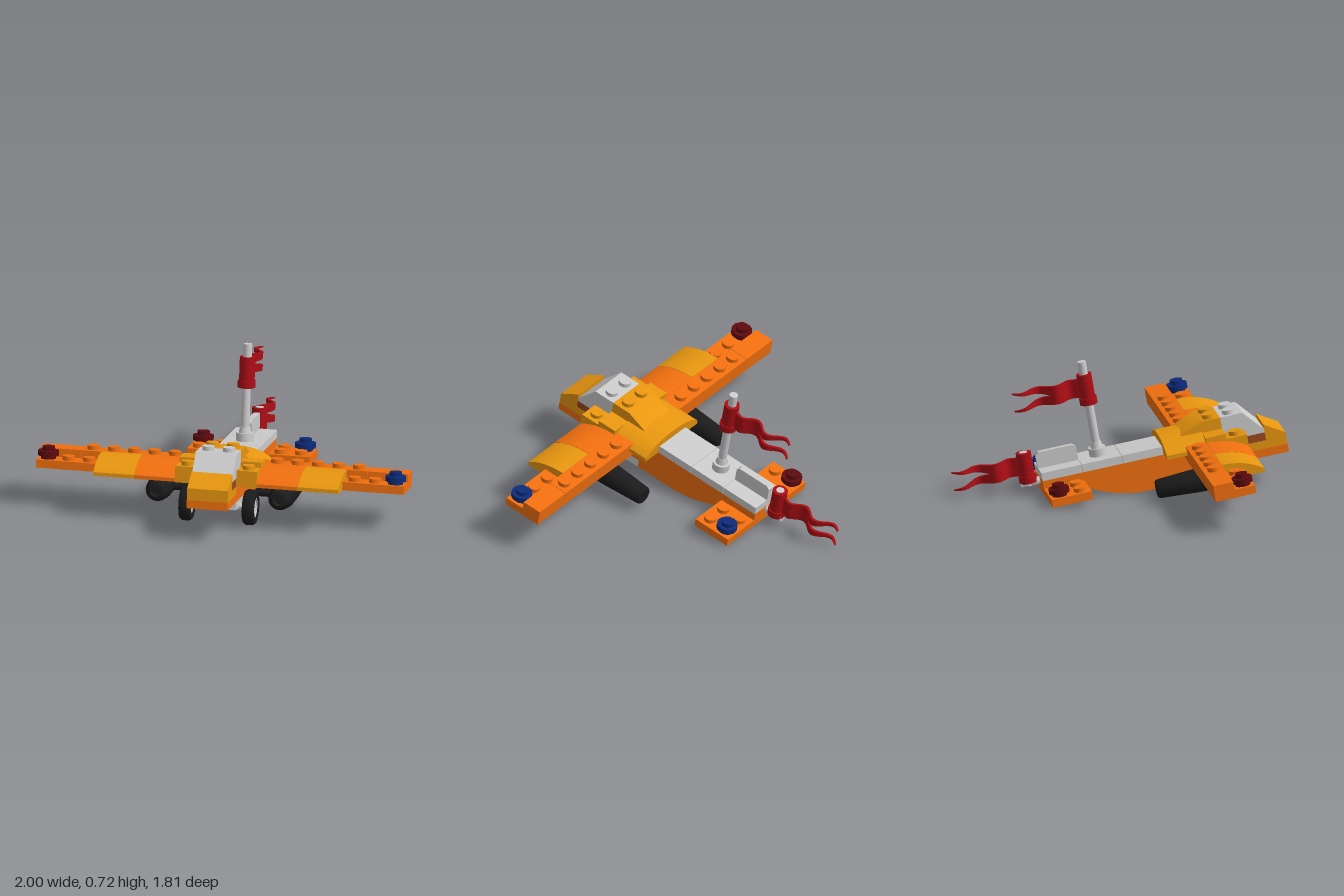
import * as THREE from 'three';
import { toCreasedNormals } from 'three/addons/utils/BufferGeometryUtils.js';

const mat = (color) => new THREE.MeshStandardMaterial({ color, side: THREE.DoubleSide });
const M = {
  orange: mat(0xf2700f), yellow: mat(0xe8960f), red: mat(0xaa0d14), darkRed: mat(0x5c0a0e),
  blue: mat(0x0d2a78), black: mat(0x1b1b1b), brown: mat(0x9a4a1e), grey: mat(0xcccccc),
};

// All sizes below are in stud pitches; a plate is 0.4 high.
export function createModel() {
  const model = new THREE.Group();
  const plane = new THREE.Group();
  plane.name = 'plane';
  plane.scale.setScalar(1 / 9);
  plane.rotation.x = -0.172;
  plane.position.set(0, 0.04, 0.03);
  model.add(plane);

  const add = (name, geo, m, x = 0, y = 0, z = 0) => {
    const mesh = new THREE.Mesh(geo, m);
    mesh.name = name;
    mesh.position.set(x, y, z);
    plane.add(mesh);
    return mesh;
  };
  // Box from its limits
  const box = (name, m, x0, x1, y0, y1, z0, z1) =>
    add(name, new THREE.BoxGeometry(x1 - x0, y1 - y0, z1 - z0), m, (x0 + x1) / 2, (y0 + y1) / 2, (z0 + z1) / 2);
  // Upright cylinder standing on y
  const post = (name, m, r, h, x, y, z, r2 = r) =>
    add(name, new THREE.CylinderGeometry(r2, r, h, 24), m, x, y + h / 2, z);
  const stud = (m, x, y, z) => post('stud', m, 0.3, 0.2, x, y, z);
  // Side profile (z, y) extruded across x
  const across = (name, m, shape, x0, x1) => {
    const geo = new THREE.ExtrudeGeometry(shape, { depth: x1 - x0, bevelEnabled: false, curveSegments: 16 });
    geo.rotateY(-Math.PI / 2);
    return add(name, toCreasedNormals(geo, 0.5), m, x1, 0, 0);
  };
  const poly = (pts) => new THREE.Shape(pts.map((p) => new THREE.Vector2(...p)));
  // Plate hollow from below, with tubes
  const hollowPlate = (name, m, x0, x1, y, z0, z1) => {
    const w = 0.15;
    box(name, m, x0, x1, y + 0.27, y + 0.4, z0, z1);
    box(name + 'Rim', m, x0, x1, y, y + 0.27, z0, z0 + w);
    box(name + 'Rim', m, x0, x1, y, y + 0.27, z1 - w, z1);
    box(name + 'Rim', m, x0, x0 + w, y, y + 0.27, z0 + w, z1 - w);
    box(name + 'Rim', m, x1 - w, x1, y, y + 0.27, z0 + w, z1 - w);
    const ring = [[0.3, 0.27], [0.3, 0], [0.41, 0], [0.41, 0.27]].map((p) => new THREE.Vector2(...p));
    for (let x = x0 + 1; x < x1; x++)
      add('tube', toCreasedNormals(new THREE.LatheGeometry(ring, 20), 0.6), m, x, y, (z0 + z1) / 2);
  };
  // Round one-stud lamp
  const lamp = (m, x, y, z) => {
    post('lampFoot', m, 0.36, 0.15, x, y, z);
    post('lamp', m, 0.5, 0.25, x, y + 0.15, z);
    stud(m, x, y + 0.4, z);
  };

  // Nose
  box('noseFloor', M.orange, -1, 1, 0, 0.4, 6, 8);
  box('noseBlock', M.yellow, -1, 1, 0.4, 0.8, 6, 8);
  across('noseSlope', M.yellow, poly([[7, 0.8], [8, 0.8], [8, 0.98], [7, 1.6]]), -1, 1);
  box('cockpitSill', M.brown, -0.99, 0.99, 0.8, 1.2, 5, 7);

  // Cockpit
  across('windscreen', M.grey, poly([[5, 1.2], [7, 1.2], [7, 1.36], [6.1, 2.4], [5, 2.4]]), -1, 1);
  across('cockpitBack', M.yellow, poly([[3, 1.2], [5, 1.2], [5, 2.4], [4, 2.4], [3, 1.95]]), -1, 1);
  for (const s of [-0.5, 0.5]) {
    stud(M.grey, s, 2.4, 5.5);
    stud(M.yellow, s, 2.4, 4.5);
  }

  // Arched cover over the wing root
  const arch = poly([[2, 1.2], [2, 1.4]]);
  arch.quadraticCurveTo(1.4, 2, 0, 2);
  arch.quadraticCurveTo(-1.4, 2, -2, 1.4);
  arch.lineTo(-2, 1.2);
  const archGeo = new THREE.ExtrudeGeometry(arch, { depth: 2, bevelEnabled: false, curveSegments: 12 });
  add('archCover', toCreasedNormals(archGeo, 0.5), M.yellow, 0, 0, 2);

  // Middle fuselage and undercarriage beam
  box('middleBody', M.orange, -1, 1, 0, 1.2, 3, 6);
  box('undercarriagePlate', M.grey, -1, 1, -0.4, 0, 3, 5.8);

  // Curved rear belly
  const belly = poly([[3, 1.2], [3, -0.4], [1, -0.4]]);
  belly.bezierCurveTo(-0.4, -0.4, -1.8, 0.2, -2.8, 0.95);
  belly.lineTo(-2.8, 1.2);
  across('belly', M.orange, belly, -1, 1);

  // Rear deck tiles
  for (const [a, b] of [[2, 3], [0, 2], [-2, 0], [-4, -2]])
    box('deckTile', M.grey, -1, 1, 1.2, 1.6, a + 0.01, b - 0.01);
  box('tailBlock', M.orange, -0.98, 0.98, 0.8, 1.2, -4, -2);
  const fin = poly([[-4, 1.6], [-2, 1.6], [-2, 2.25], [-2.15, 2.4], [-3.85, 2.4], [-4, 2.25]]);
  across('tailFin', M.grey, fin, -0.14, 0.14);

  // Tail plane
  hollowPlate('tailPlane', M.orange, -3, 3, 0.4, -4, -2);
  lamp(M.blue, 2.5, 0.8, -3.5);
  lamp(M.darkRed, -2.5, 0.8, -3.5);

  // Curved wing slope profile
  const slope = poly([[4, 0.82], [6, 0.82], [6, 1.0]]);
  slope.quadraticCurveTo(5.2, 1.6, 4, 1.62);

  for (const s of [-1, 1]) {
    const span = (a, b) => (s > 0 ? [a, b] : [-b, -a]);
    // Wing
    hollowPlate('wingPlate', M.orange, ...span(1, 5), 0.8, 3, 5);
    hollowPlate('wingPlate', M.orange, ...span(5, 9), 0.8, 3, 5);
    box('wingRearPlate', M.orange, ...span(1, 6.99), 1.2, 1.6, 3, 4);
    box('wingTipTile', M.orange, ...span(7.01, 9), 1.2, 1.6, 3, 4);
    for (let x = 2.5; x < 7; x++) stud(M.orange, s * x, 1.6, 3.5);
    for (const x of [6.5, 7.5]) stud(M.orange, s * x, 1.2, 4.5);
    lamp(s > 0 ? M.blue : M.darkRed, s * 8.5, 1.2, 4.5);
    across('innerWingSlope', M.orange, slope, ...span(2, 3.99));
    across('outerWingSlope', M.yellow, slope, ...span(4.01, 6));

    // Shoulder blocks beside the cockpit
    box('shoulderBlock', M.yellow, ...span(1, 2), 0.8, 1.6, 4, 6);
    box('shoulderTop', M.yellow, ...span(1, 2), 1.6, 1.85, 4, 5);
    stud(M.yellow, s * 1.5, 1.6, 5.5);

    // Tail studs
    for (const [x, z] of [[1.5, -2.5], [1.5, -3.5], [2.5, -2.5]]) stud(M.orange, s * x, 0.8, z);

    // Front wheel
    const tyrePts = [[0.5, -0.28], [0.78, -0.28], [0.86, -0.15], [0.86, 0.15], [0.78, 0.28], [0.5, 0.28], [0.5, -0.28]];
    const tyre = new THREE.LatheGeometry(tyrePts.map((p) => new THREE.Vector2(...p)), 32);
    add('tyre', toCreasedNormals(tyre, 0.6), M.black, s * 1.55, -0.36, 5).rotation.z = Math.PI / 2;
    const hubPts = [[0.18, 0.2], [0.2, 0.1], [0.42, 0.1], [0.44, 0.24], [0.51, 0.24], [0.51, -0.24], [0, -0.2]];
    const hub = new THREE.LatheGeometry(hubPts.map((p) => new THREE.Vector2(...p)), 24);
    add('hub', toCreasedNormals(hub, 0.6), M.grey, s * 1.55, -0.36, 5).rotation.z = -s * Math.PI / 2;
    for (let i = 0; i < 6; i++) {
      const spoke = add('spoke', new THREE.BoxGeometry(0.08, 0.9, 0.08), M.grey, s * 1.7, -0.36, 5);
      spoke.rotation.x = (i * Math.PI) / 6;
    }
    add('axle', new THREE.CylinderGeometry(0.18, 0.18, 1, 16), M.grey, s * 1.25, -0.36, 5).rotation.z = Math.PI / 2;

    // Engine pod under the wing
    const podPts = [[0, 0], [0.4, 0], [0.46, 0.08], [0.58, 2], [0.62, 3.4], [0.56, 4.1], [0.4, 4.45], [0.28, 4.5], [0.25, 4.2], [0, 4.2]];
    const pod = new THREE.LatheGeometry(podPts.map((p) => new THREE.Vector2(...p)), 28);
    add('enginePod', toCreasedNormals(pod, 0.7), M.black, s * 3, 0.2, 1.1).rotation.x = Math.PI / 2;
    box('podMount', M.black, ...span(2.6, 3.4), 0.5, 0.8, 3.2, 4.8);
    add('podBar', new THREE.CylinderGeometry(0.2, 0.2, 1.2, 14), M.black, s * 2.2, 0.2, 4).rotation.z = Math.PI / 2;
  }

  // Flag: a clip and a waving cloth that splits into two points
  const flag = (y, z) => {
    post('flagClip', M.red, 0.37, 1.5, 0, y, z);
    post('flagClipRing', M.red, 0.43, 0.35, 0, y, z);
    const len = 3.4;
    for (const s of [-1, 1]) {
      const geo = new THREE.BoxGeometry(0.14, 1, 1, 1, 1, 40);
      const p = geo.attributes.position;
      for (let i = 0; i < p.count; i++) {
        const t = 0.5 - p.getZ(i);
        const outer = p.getY(i) * s > 0;
        const h = outer ? 0.46 : Math.max(0, (t - 0.45) / 0.55) * 0.42;
        const wave = 0.24 * Math.sin(t * Math.PI * 4) * Math.min(1, t * 5);
        p.setXYZ(i, p.getX(i) + wave, s * h, -0.2 - t * len);
      }
      geo.computeVertexNormals();
      add('flagCloth', geo, M.red, 0, y + 0.83, z);
    }
  };

  // Mast
  post('mastBase', M.grey, 0.42, 0.4, 0, 1.6, -1);
  post('mastCollar', M.grey, 0.3, 0.3, 0, 2, -1, 0.24);
  post('mast', M.grey, 0.21, 4.75, 0, 1.6, -1);
  flag(4.22, -1);

  // Rear flag holder
  add('tailBar', new THREE.CylinderGeometry(0.2, 0.2, 1.1, 16), M.grey, 0, 0.98, -4.4).rotation.x = Math.PI / 2;
  post('tailPin', M.grey, 0.2, 1.7, 0, 0.85, -4.55);
  flag(1.02, -4.55);

  return model;
}
